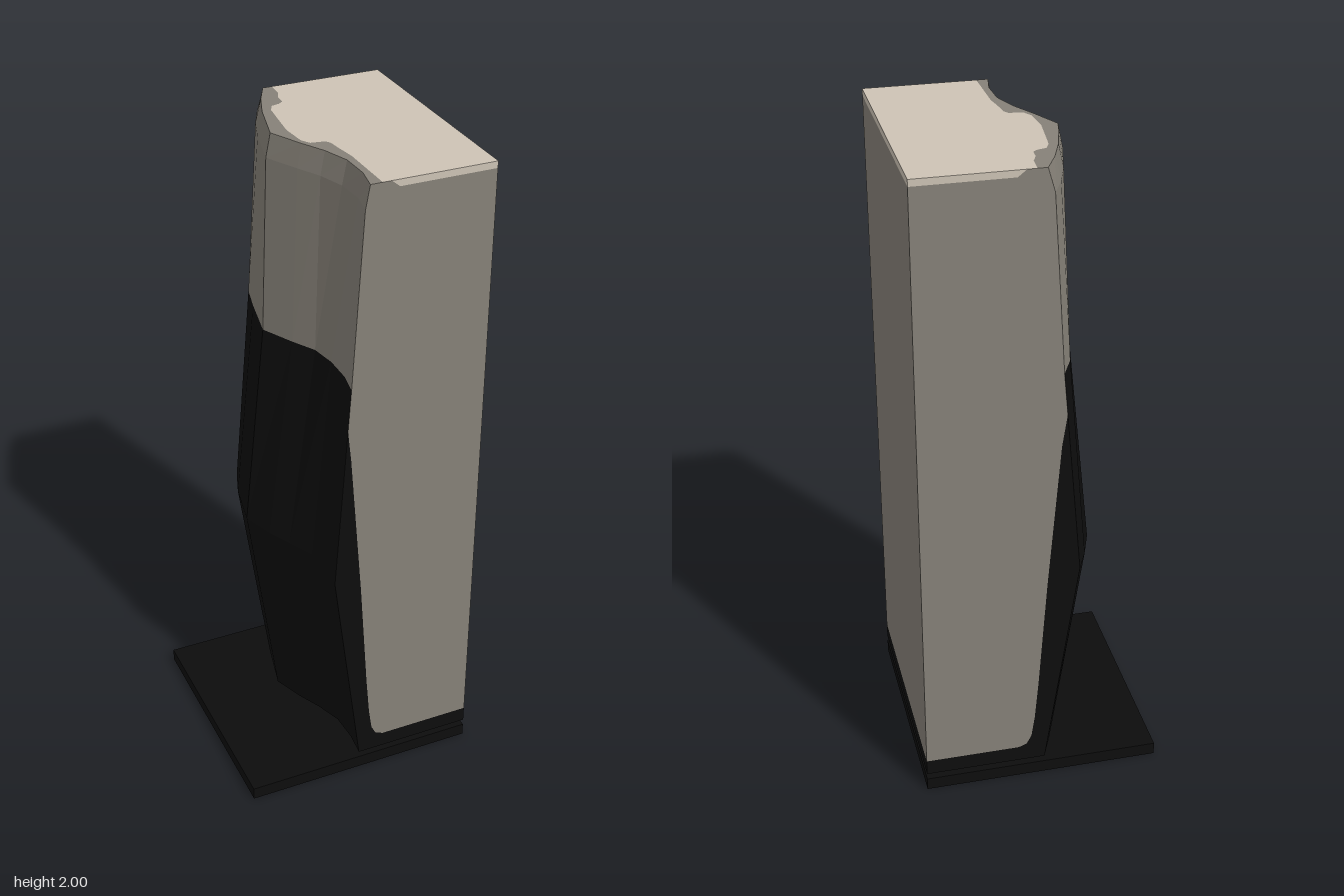
import * as THREE from 'three';

const HALF = 0.365;
const stone = new THREE.MeshStandardMaterial({ color: 0x868178 });
stone.name = 'grey stone';
const cream = new THREE.MeshStandardMaterial({ color: 0xcdc3b5 });
cream.name = 'cream top';
const black = new THREE.MeshStandardMaterial({ color: 0x0d0d0d });
black.name = 'black';

// Wavy left wall: one x profile per height, sampled at these depths
const depths = [-HALF, -0.29, -0.2, -0.05, 0.05, 0.12, 0.2, 0.29, HALF];
const rows = [
  { y: 0.06, x: [-0.007, -0.04, -0.075, -0.11, -0.07, -0.035, -0.005, 0, -0.007] },
  { y: 0.75, x: [-0.108, -0.143, -0.175, -0.205, -0.17, -0.135, -0.096, -0.094, -0.095] },
  { y: 1.4, x: [-0.052, -0.088, -0.11, -0.14, -0.09, -0.05, -0.036, -0.036, -0.05] },
  { y: 1.93, x: [-0.02, -0.055, -0.085, -0.122, -0.072, -0.035, -0.008, -0.002, -0.018] },
  { y: 2, x: [0, -0.037, -0.07, -0.108, -0.06, -0.022, 0.006, 0.009, -0.005] },
];

// Faceted strip of wall between consecutive rows
function wall(name, strip, material) {
  const pos = [];
  const p = (row, j) => [row.x[j], row.y, depths[j]];
  for (let i = 0; i < strip.length - 1; i++) {
    for (let j = 0; j < depths.length - 1; j++) {
      const a = p(strip[i], j), b = p(strip[i], j + 1);
      const c = p(strip[i + 1], j + 1), d = p(strip[i + 1], j);
      pos.push(...a, ...b, ...c, ...a, ...c, ...d);
    }
  }
  const geometry = new THREE.BufferGeometry();
  geometry.setAttribute('position', new THREE.Float32BufferAttribute(pos, 3));
  geometry.computeVertexNormals();
  const mesh = new THREE.Mesh(geometry, material);
  mesh.name = name;
  return mesh;
}

// Flat patch from an outline; flip turns it to face the other way
function patch(name, points, material, flip = false) {
  const shape = new THREE.Shape(points.map(([x, y]) => new THREE.Vector2(x, y)));
  const geometry = new THREE.ShapeGeometry(shape);
  if (flip) {
    geometry.index.array.reverse();
    geometry.computeVertexNormals();
  }
  const mesh = new THREE.Mesh(geometry, material);
  mesh.name = name;
  return mesh;
}

// Front or back: grey panel, cream lip and black border with a rounded corner
function endFace(name, column, z, flip) {
  const edge = rows.map((r) => [r.x[column], r.y]);
  const t = (1.27 - 0.75) / 0.65;
  const start = [edge[1][0] + (edge[2][0] - edge[1][0]) * t, 1.27];
  const border = [start, [-0.048, 1.17], [-0.01, 0.7], [0.014, 0.35],
    [0.025, 0.22], [0.035, 0.15], [0.05, 0.12], [0.075, 0.11], [HALF, 0.11]];
  const lip = [[HALF, 1.98], [0.08, 1.98], [0.055, 2]];
  const face = new THREE.Group();
  face.name = name;
  face.add(
    patch(name + 'Panel', [...border, ...lip, edge[4], edge[3], edge[2]], stone, flip),
    patch(name + 'Lip', [...lip, [HALF, 2]], cream, flip),
    patch(name + 'Border', [edge[0], [HALF, 0.06], ...[...border].reverse(), edge[1]], black, flip),
  );
  face.position.z = z;
  return face;
}

export function createModel() {
  const model = new THREE.Group();
  model.name = 'monument';

  // Base plate, with a small gap below the block
  const base = new THREE.Mesh(new THREE.BoxGeometry(2 * HALF, 0.04, 2 * HALF), black);
  base.name = 'basePlate';
  base.position.y = 0.02;
  model.add(base);

  // Wavy left side
  model.add(
    wall('lowerWavyWall', rows.slice(0, 3), black),
    wall('upperWavyWall', rows.slice(2), stone),
  );

  // Front and back
  model.add(
    endFace('front', depths.length - 1, HALF, false),
    endFace('back', 0, -HALF, true),
  );

  // Straight side in three bands
  for (const [name, y0, y1, material] of [
    ['sideFoot', 0.06, 0.11, black],
    ['sidePanel', 0.11, 1.98, stone],
    ['sideLip', 1.98, 2, cream],
  ]) {
    const band = patch(name, [[-HALF, y0], [HALF, y0], [HALF, y1], [-HALF, y1]], material);
    band.rotation.y = Math.PI / 2;
    band.position.x = HALF;
    model.add(band);
  }

  // Top: cream field with an uneven grey margin along the wavy rim
  const rim = (row) => depths.map((z, j) => [row.x[j], -z]);
  const margin = [[0.028, -0.365], [0.025, -0.31], [0.012, -0.28], [0.01, -0.245],
    [-0.005, -0.234], [-0.03, -0.227], [-0.043, -0.2], [-0.05, -0.14], [-0.06, -0.05],
    [-0.053, 0.03], [-0.037, 0.057], [0.005, 0.064], [0.014, 0.08], [0.02, 0.13],
    [0.028, 0.18], [0.03, 0.365]].map(([x, z]) => [x, -z]);
  const corners = [[HALF, -HALF], [HALF, HALF]];
  const flats = [
    [patch('topField', [...margin, ...corners], cream), 2],
    [patch('topMargin', [...rim(rows[4]), ...[...margin].reverse()], stone), 2],
    [patch('underside', [...rim(rows[0]), ...corners], black, true), 0.06],
  ];
  for (const [mesh, y] of flats) {
    mesh.rotation.x = -Math.PI / 2;
    mesh.position.y = y;
    model.add(mesh);
  }

  return model;
}
